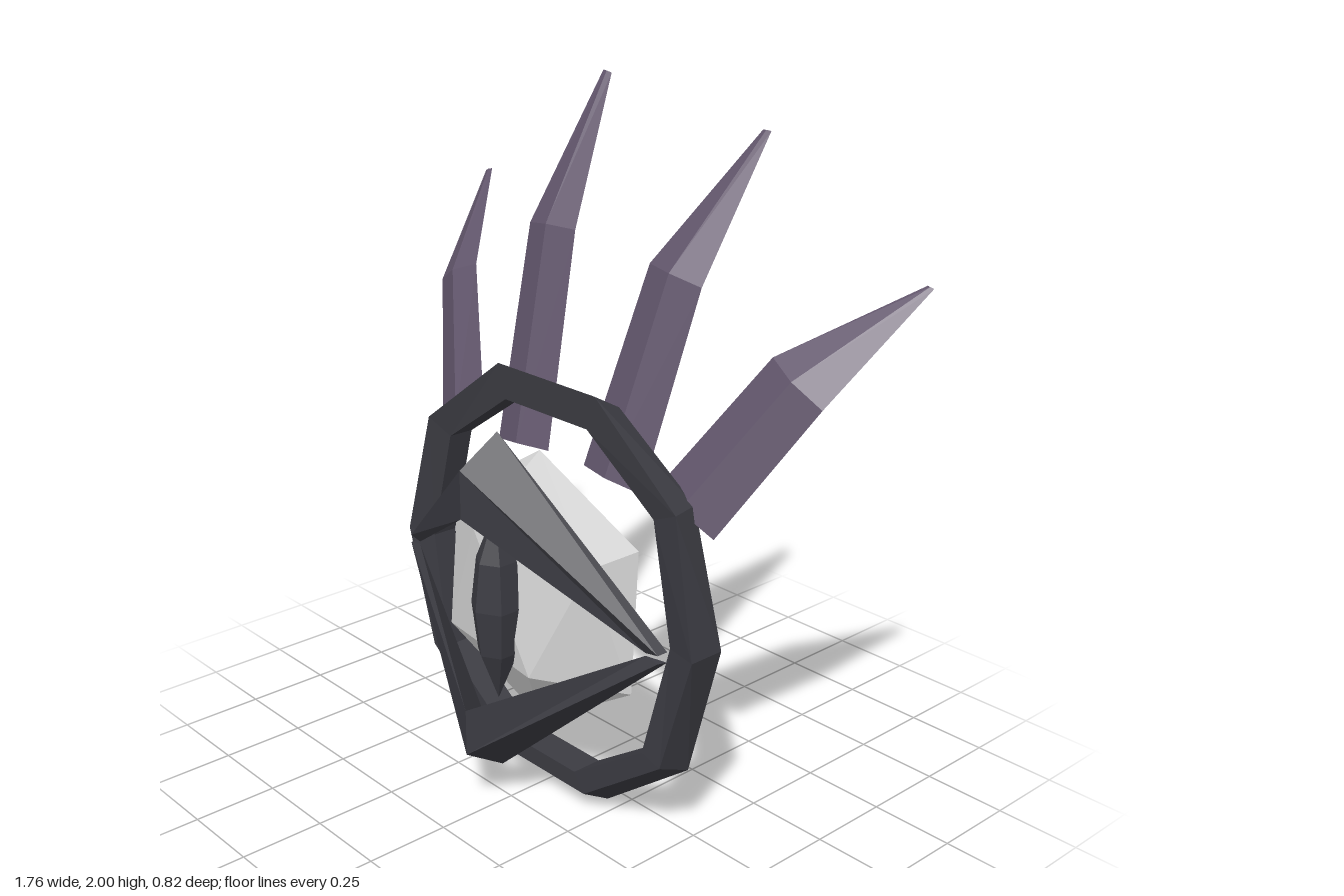
import * as THREE from 'three';
import { ConvexGeometry } from 'three/addons/geometries/ConvexGeometry.js';

const mat = (name, color) => new THREE.MeshStandardMaterial({ name, color, flatShading: true });

// Skins a list of equal-sized cross-sections; closed joins last to first, otherwise ends are capped
function loft(sections, closed) {
  const pos = [];
  const tri = (a, b, c) => pos.push([a, b, c]);
  const n = sections[0].length;
  const count = closed ? sections.length : sections.length - 1;
  for (let i = 0; i < count; i++) {
    const s = sections[i], t = sections[(i + 1) % sections.length];
    for (let j = 0; j < n; j++) {
      const k = (j + 1) % n;
      tri(s[j], s[k], t[k]);
      tri(s[j], t[k], t[j]);
    }
  }
  if (!closed) {
    const s = sections[0], t = sections[sections.length - 1];
    for (let j = 1; j < n - 1; j++) {
      tri(s[0], s[j + 1], s[j]);
      tri(t[0], t[j], t[j + 1]);
    }
  }
  // turn the faces outward if the enclosed volume comes out negative
  let volume = 0;
  const v = p => new THREE.Vector3(...p);
  for (const [a, b, c] of pos) volume += v(a).dot(v(b).cross(v(c)));
  const flat = pos.flatMap(([a, b, c]) => (volume < 0 ? [a, c, b] : [a, b, c])).flat();
  const g = new THREE.BufferGeometry();
  g.setAttribute('position', new THREE.Float32BufferAttribute(flat, 3));
  g.computeVertexNormals();
  return g;
}

export function createModel() {
  const group = new THREE.Group();
  const dark = mat('charcoal', 0x3b3b42);
  const purple = mat('dusky purple', 0x62566c);
  const pale = mat('pale grey', 0xdadada);
  const add = (name, geometry, material) => {
    const m = new THREE.Mesh(geometry, material);
    m.name = name;
    group.add(m);
    return m;
  };
  const midY = 0.63;

  // Ten-sided ring; each section is outer front, outer back, inner back, inner front
  const half = [
    [[0.20, 1.25, 0.11], [0.20, 1.20, 0.02], [0.17, 1.15, 0.02], [0.17, 1.15, 0.11]],
    [[0.52, 1.01, 0.12], [0.50, 1.01, 0.03], [0.43, 0.97, 0.03], [0.43, 0.97, 0.11]],
    [[0.61, 0.63, 0.14], [0.61, 0.63, 0.03], [0.51, 0.63, 0.04], [0.51, 0.63, 0.12]],
    [[0.50, 0.27, 0.14], [0.52, 0.24, 0.05], [0.43, 0.29, 0.05], [0.43, 0.29, 0.14]],
    [[0.20, 0.055, 0.145], [0.20, 0.00, 0.05], [0.16, 0.11, 0.05], [0.16, 0.11, 0.145]],
  ];
  const otherHalf = half.map(s => s.map(([x, y, z]) => [-x, y, z])).reverse();
  add('ring', loft([...half, ...otherHalf], true), dark);

  // Eyelids: triangular bars bent forward in the middle
  for (const s of [1, -1]) {
    const corner = side => [
      [side * 0.54, midY + s * 0.015, 0.16],
      [side * 0.535, midY + s * 0.012, 0.19],
      [side * 0.49, midY + s * 0.004, 0.19],
    ];
    const peak = [[0, midY + s * 0.51, 0.28], [0, midY + s * 0.43, 0.41], [0, midY + s * 0.29, 0.41]];
    add(s > 0 ? 'upperEyelid' : 'lowerEyelid', loft([corner(-1), peak, corner(1)], false), dark);
  }

  // Eyeball: flattened icosahedron with its poles up and down
  const R = 0.42, ball = [new THREE.Vector3(0, R, 0), new THREE.Vector3(0, -R, 0)];
  for (let i = 0; i < 5; i++) {
    for (const s of [1, -1]) {
      const a = i * Math.PI * 0.4 + (s > 0 ? Math.PI : 0);
      ball.push(new THREE.Vector3(
        Math.cos(a) * R * 0.894, s * R * 0.447, Math.sin(a) * R * 0.894 * 0.41));
    }
  }
  add('eyeball', new ConvexGeometry(ball), pale).position.set(0, midY, 0.13);

  // Pupil: slim faceted spindle
  const profile = [[0, -0.29], [0.06, -0.14], [0.077, 0], [0.06, 0.14], [0, 0.29]]
    .map(p => new THREE.Vector2(...p));
  add('pupil', new THREE.LatheGeometry(profile, 6), dark).position.set(0, midY, 0.29);

  // Horns: two edge points per section, with a ridge in front and behind
  const horn = (name, base, mid, tip) => {
    const section = ([ax, ay, bx, by], z, t) => {
      const cx = (ax + bx) / 2, cy = (ay + by) / 2;
      return [[ax, ay, z], [cx, cy + t * 0.4, z + t], [bx, by, z], [cx, cy - t * 0.4, z - t]];
    };
    add(name, loft([section(base, 0.03, 0.028), section(mid, -0.135, 0.025), section(tip, -0.405, 0.004)], false), purple);
  };
  horn('rightOuterHorn', [-0.57, 0.94, -0.37, 1.06], [-0.77, 1.34, -0.60, 1.42], [-0.88, 1.63, -0.85, 1.64]);
  horn('rightInnerHorn', [-0.30, 0.98, -0.08, 1.00], [-0.345, 1.59, -0.15, 1.60], [-0.33, 2.00, -0.295, 1.995]);
  horn('leftInnerHorn', [0.07, 1.00, 0.30, 0.98], [0.15, 1.56, 0.345, 1.53], [0.295, 1.905, 0.325, 1.905]);
  horn('leftOuterHorn', [0.37, 1.03, 0.57, 0.935], [0.60, 1.40, 0.77, 1.30], [0.86, 1.59, 0.88, 1.585]);

  return group;
}
